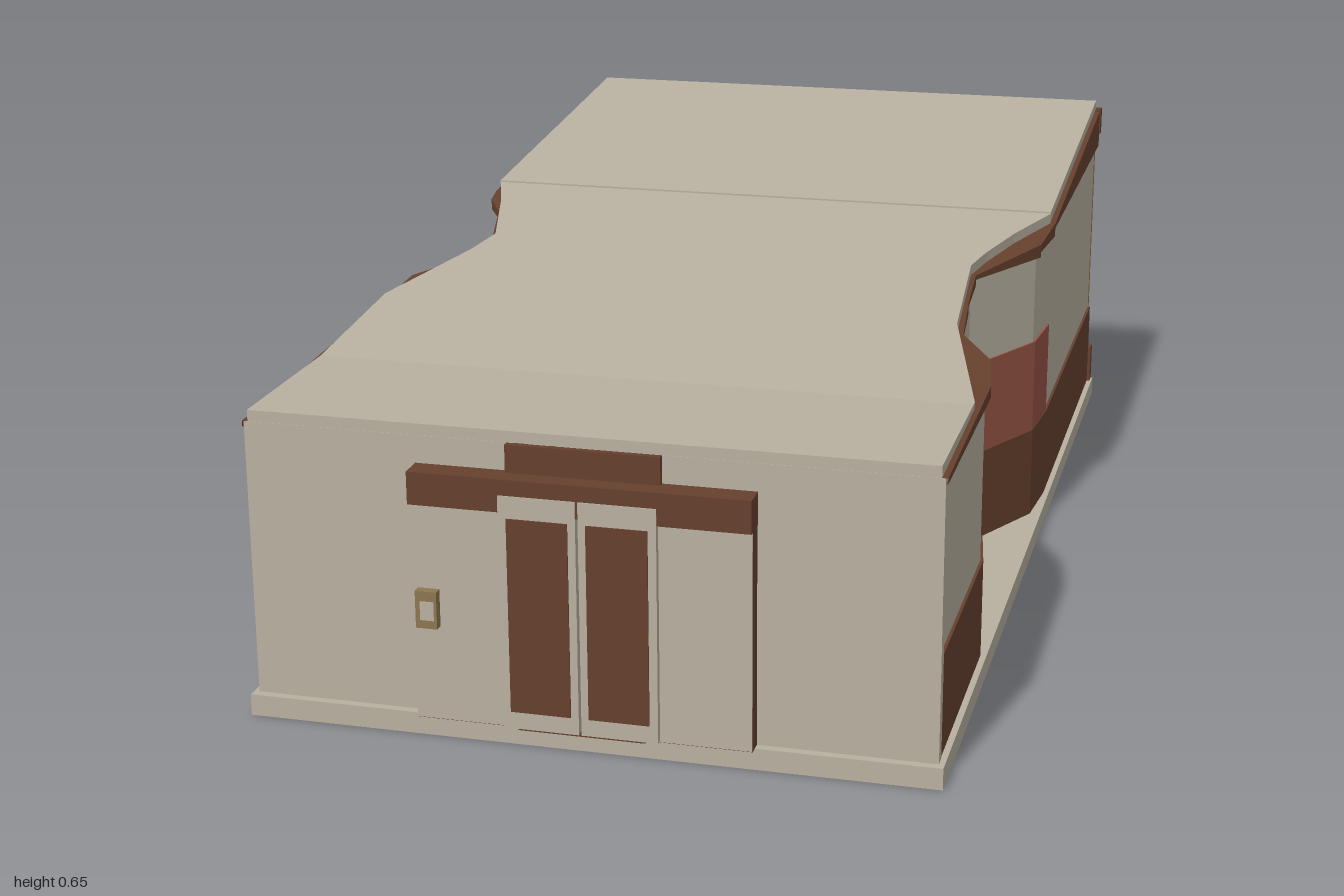
import * as THREE from 'three';

const mat = (name, color, side = THREE.FrontSide) => {
  const m = new THREE.MeshStandardMaterial({ color, side });
  m.name = name;
  return m;
};

// Side wall plans from front to back: [z, distance from centre, top of the pale wall in the next segment]
const LEFT = [[0.95, 0.535, 0.475], [0.54, 0.535, 0.48], [0.43, 0.517, 0.487], [0.33, 0.457, 0.505],
  [0.18, 0.442, 0.518], [0.05, 0.434, 0.53], [-0.13, 0.525, 0.54], [-0.25, 0.535, 0.555], [-0.98, 0.535, 0.555]];
const RIGHT = [[0.95, 0.535, 0.475], [0.37, 0.535, 0.498], [0.23, 0.53, 0.513], [0.12, 0.465, 0.523],
  [0.04, 0.447, 0.532], [-0.13, 0.49, 0.54], [-0.2, 0.528, 0.545], [-0.25, 0.535, 0.555], [-0.98, 0.535, 0.555]];

// Roof edges, which cut the curves a little differently from the walls
const ROOF_LEFT = [[0.95, 0.535], [0.65, 0.535], [0.33, 0.455], [0.05, 0.434], [-0.02, 0.45], [-0.13, 0.485], [-0.25, 0.535], [-0.98, 0.535]];
const ROOF_RIGHT = [[0.95, 0.535], [0.37, 0.535], [0.13, 0.464], [0.04, 0.447], [-0.15, 0.5], [-0.25, 0.535], [-0.98, 0.535]];

const roofY = (z) => 0.505 + 0.145 * Math.max(0, (0.66 - z) / 1.64);

function edgeAt(path, z) {
  for (let i = 0; i < path.length - 1; i++) {
    const [z0, x0] = path[i], [z1, x1] = path[i + 1];
    if (z <= z0 && z >= z1) return x0 + (x1 - x0) * (z0 - z) / (z0 - z1);
  }
  return path[path.length - 1][1];
}

// Flat shaded geometry from four-cornered faces
function quads(list) {
  const pos = [];
  for (const [a, b, c, d] of list) pos.push(...a, ...b, ...c, ...a, ...c, ...d);
  const g = new THREE.BufferGeometry();
  g.setAttribute('position', new THREE.Float32BufferAttribute(pos, 3));
  g.computeVertexNormals();
  return g;
}

// Band that follows a wall, with a ledge on top reaching inwards
function ribbon(path, side, out, ledge, low, high) {
  const faces = [];
  for (let i = 0; i < path.length - 1; i++) {
    const [z0, x0, top] = path[i], [z1, x1] = path[i + 1];
    const p = (x, y, z) => [side * x, y, z];
    const [l, h0, h1] = [low(top), high(z0, top), high(z1, top)];
    const fs = [
      [p(x0 + out, l, z0), p(x1 + out, l, z1), p(x1 + out, h1, z1), p(x0 + out, h0, z0)],
      [p(x0 + out, h0, z0), p(x1 + out, h1, z1), p(x1 - ledge, h1, z1), p(x0 - ledge, h0, z0)],
      [p(x0, l, z0), p(x1, l, z1), p(x1 + out, l, z1), p(x0 + out, l, z0)],
    ];
    faces.push(...(side > 0 ? fs : fs.map((f) => f.reverse())));
  }
  return quads(faces);
}

// Roof slab lofted through cross-sections
function roofSlab(from, to, thick, lift) {
  const stations = [...new Set([...ROOF_LEFT, ...ROOF_RIGHT, [0.66]].map((p) => p[0]))]
    .filter((z) => z <= from && z >= to).sort((a, b) => b - a);
  const rings = stations.map((z) => {
    const r = edgeAt(ROOF_LEFT, z), l = -edgeAt(ROOF_RIGHT, z), y = roofY(z) + lift;
    return [[l, y - thick, z], [r, y - thick, z], [r, y, z], [l, y, z]];
  });
  const faces = [rings[0], [...rings[rings.length - 1]].reverse()];
  for (let i = 0; i < rings.length - 1; i++)
    for (let j = 0; j < 4; j++) {
      const k = (j + 1) % 4;
      faces.push([rings[i][j], rings[i + 1][j], rings[i + 1][k], rings[i][k]]);
    }
  return quads(faces);
}

export function createModel() {
  const model = new THREE.Group();
  model.name = 'building';
  const beige = mat('beige', 0xb8b0a0, THREE.DoubleSide);
  const brown = mat('brown', 0x66402d, THREE.DoubleSide);
  const red = mat('brick red', 0x965444, THREE.DoubleSide);
  const glass = mat('blue glass', 0x7c9ca0);
  const bronze = mat('bronze', 0x8c7650);

  const add = (name, geo, m) => {
    const mesh = new THREE.Mesh(geo, m);
    mesh.name = name;
    model.add(mesh);
    return mesh;
  };
  // Box given by its limits on each axis
  const box = (name, m, x0, x1, y0, y1, z0, z1) =>
    add(name, new THREE.BoxGeometry(x1 - x0, y1 - y0, z1 - z0), m)
      .position.set((x0 + x1) / 2, (y0 + y1) / 2, (z0 + z1) / 2);

  box('base', beige, -0.55, 0.55, 0, 0.035, -1, 0.965);

  // Side walls with plinth, red panel and fascia
  for (const [word, path, side, redStart] of [['left', LEFT, 1, 0.33], ['right', RIGHT, -1, 0.37]]) {
    add(word + 'Wall', ribbon(path, side, 0, 0.02, () => 0.035, (z, t) => t), beige);
    add(word + 'Plinth', ribbon(path, side, 0.005, 0, () => 0.035, () => 0.2), brown);
    const bend = path.filter(([z]) => z <= redStart && z >= -0.25);
    add(word + 'RedPanel', ribbon(bend, side, 0.004, 0, () => 0.2, () => 0.37), red);
    add(word + 'Fascia', ribbon(path, side, 0.009, 0.07, (t) => t, (z) => roofY(z) - 0.021), brown);
  }

  // Roof in two slabs
  add('frontRoof', roofSlab(0.95, -0.25, 0.02, -0.003), beige);
  add('backRoof', roofSlab(-0.25, -0.98, 0.018, 0), beige);

  // Front wall and entrance
  box('frontWall', beige, -0.541, 0.541, 0.035, 0.484, 0.93, 0.951);
  box('signBoard', brown, -0.12, 0.12, 0.43, 0.484, 0.95, 0.961);
  box('canopy', brown, -0.265, 0.265, 0.388, 0.44, 0.95, 0.992);
  box('doorSill', brown, -0.1, 0.1, 0.035, 0.042, 0.95, 0.988);
  for (const s of [-1, 1]) {
    const span = (a, b) => (s > 0 ? [a, b] : [-b, -a]);
    box('porchPanelCore', brown, ...span(0.12, 0.264), 0.035, 0.388, 0.95, 0.978);
    box('porchPanelFace', beige, ...span(0.12, 0.264), 0.038, 0.388, 0.978, 0.983);
    box('door', beige, ...span(0.002, 0.122), 0.04, 0.415, 0.95, 0.994);
    box('doorPane', brown, ...span(0.014, 0.109), 0.068, 0.38, 0.994, 0.996);
  }
  box('entryReader', bronze, -0.256, -0.222, 0.192, 0.252, 0.983, 0.998);
  box('entryReaderPlate', beige, -0.248, -0.226, 0.206, 0.236, 0.998, 1);

  // Glazed back wall
  box('backGlass', glass, -0.53, 0.53, 0.1, 0.6, -0.984, -0.975);
  box('backBottomRail', brown, -0.546, 0.546, 0.035, 0.11, -1, -0.975);
  box('backTopRail', brown, -0.546, 0.546, 0.58, 0.632, -1, -0.975);
  for (const x of [-0.525, 0, 0.525]) box('backPost', bronze, x - 0.011, x + 0.011, 0.11, 0.58, -0.993, -0.976);

  return model;
}
